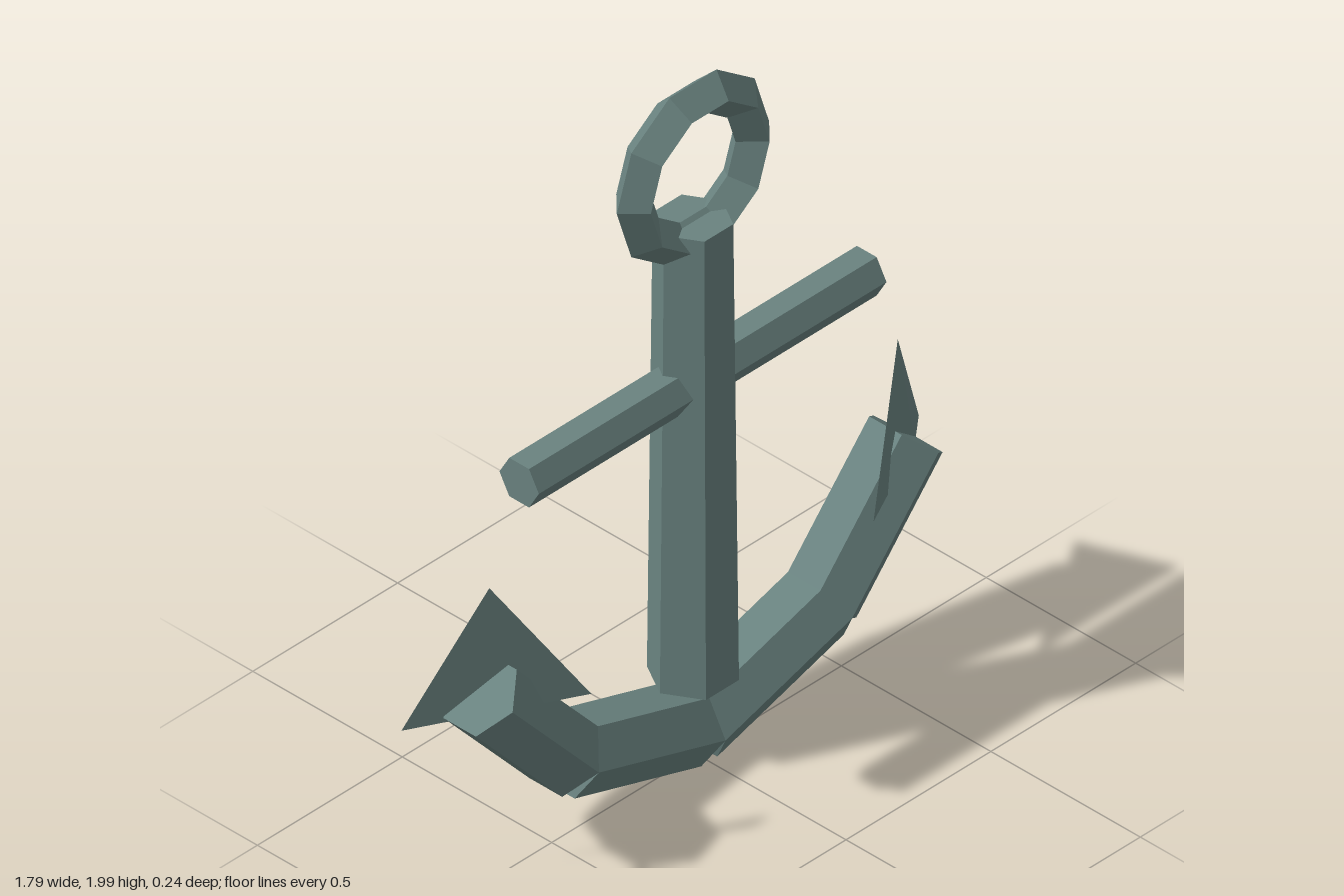
import * as THREE from 'three';
import { ConvexGeometry } from 'three/addons/geometries/ConvexGeometry.js';

const Z = -0.012; // centre plane of the bars

export function createModel() {
  const anchor = new THREE.Group();
  anchor.name = 'anchor';
  const iron = new THREE.MeshStandardMaterial({ color: 0x6a8380, flatShading: true });
  iron.name = 'weathered iron';

  const add = (name, geometry) => {
    const mesh = new THREE.Mesh(geometry, iron);
    mesh.name = name;
    anchor.add(mesh);
    return mesh;
  };

  // Six-sided bar between two points, with ridges facing front and back
  const hexBar = (name, a, b, radius) => {
    const dx = b[0] - a[0], dy = b[1] - a[1];
    const bar = add(name, new THREE.CylinderGeometry(radius, radius, Math.hypot(dx, dy), 6));
    bar.position.set((a[0] + b[0]) / 2, (a[1] + b[1]) / 2, Z);
    bar.rotation.z = Math.atan2(dy, dx) - Math.PI / 2;
  };

  // Tapered shank with ridges at its sides
  const shank = add('shank', new THREE.CylinderGeometry(0.1, 0.114, 1.355, 6, 1, false, Math.PI / 2));
  shank.position.set(0, 0.9225, Z);

  // Ring with a diamond section
  const ring = add('ring', new THREE.TorusGeometry(0.205, 0.058, 4, 10));
  ring.position.set(0, 1.75, Z);

  // Crossbar
  hexBar('stock', [-0.6, 1.128], [0.6, 1.128], 0.066);

  // Curved arms, two straight bars on each side
  const path = [[0, 0.1], [0.437, 0.234], [0.735, 0.57]];
  for (const [side, s] of [['left', 1], ['right', -1]]) {
    for (let i = 0; i < 2; i++) {
      hexBar(side + (i ? 'OuterArm' : 'InnerArm'),
        [s * path[i][0], path[i][1]], [s * path[i + 1][0], path[i + 1][1]], 0.109);
    }
    // Thin triangular fluke, ridged on one face
    const ridge = s > 0 ? [0.8, 0.49, -0.045] : [-0.6, 0.5, 0.035];
    add(side + 'Fluke', new ConvexGeometry([
      [s * 0.705, 0.87, -0.01], [s * 0.893, 0.487, -0.122], [s * 0.487, 0.507, 0.12], ridge,
    ].map((p) => new THREE.Vector3(...p))));
  }
  return anchor;
}
